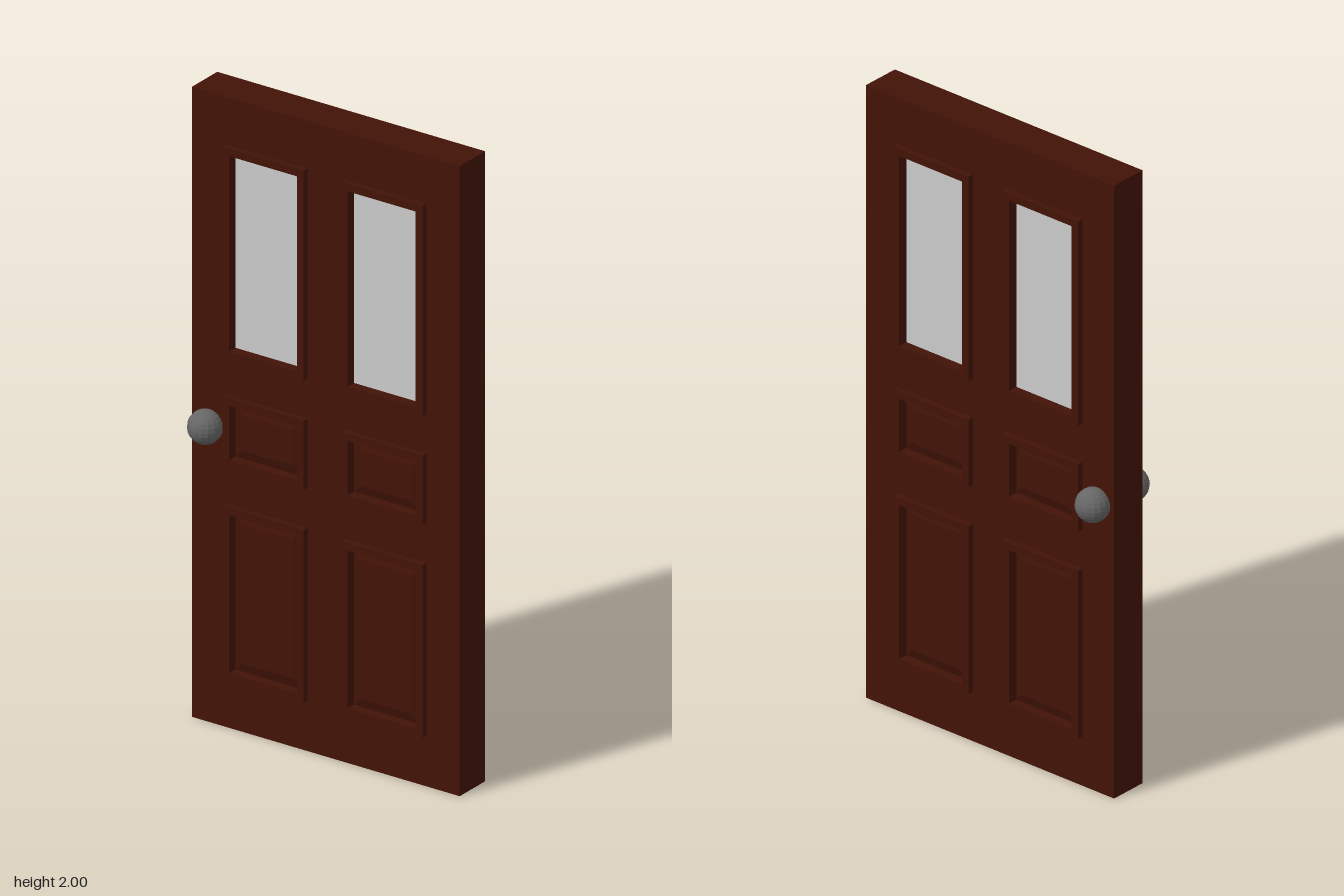
import * as THREE from 'three';

const wood = new THREE.MeshStandardMaterial({ color: 0x421306, flatShading: true });
const glass = new THREE.MeshStandardMaterial({ color: 0xcccccc });
const metal = new THREE.MeshStandardMaterial({ color: 0x666666, flatShading: true });

const HALF_DEPTH = 0.063; // half thickness of the slab
const RIM = 0.082; // how far the mouldings reach from the middle
const RIM_WIDTH = 0.024;
const INFILL = 0.05; // half thickness of panes and panel edges

// Rectangle outline; u runs along z, v along y
function rectangle(Type, [u0, u1, v0, v1]) {
  return new Type([
    new THREE.Vector2(u0, v0), new THREE.Vector2(u1, v0),
    new THREE.Vector2(u1, v1), new THREE.Vector2(u0, v1),
  ]);
}

const inset = ([u0, u1, v0, v1], d) => [u0 + d, u1 - d, v0 + d, v1 - d];

// Plate with rectangular holes, centred on x = 0 and lying in the zy plane
function plate(outer, holes, halfDepth) {
  const shape = rectangle(THREE.Shape, outer);
  holes.forEach((h) => shape.holes.push(rectangle(THREE.Path, h)));
  const geo = new THREE.ExtrudeGeometry(shape, { depth: halfDepth * 2, bevelEnabled: false });
  // A quarter turn sends the shape's x to +z
  return geo.translate(0, 0, -halfDepth).rotateY(-Math.PI / 2);
}

// Panel raised on both faces, with gently sloping borders
function raisedPanel(rect, edge, field, slope) {
  const geo = new THREE.ExtrudeGeometry(rectangle(THREE.Shape, inset(rect, slope)), {
    depth: edge * 2, bevelEnabled: true, bevelSegments: 1,
    bevelThickness: field - edge, bevelSize: slope,
  });
  return geo.translate(0, 0, -edge).rotateY(-Math.PI / 2);
}

function add(parent, name, geometry, material) {
  const mesh = new THREE.Mesh(geometry, material);
  mesh.name = name;
  parent.add(mesh);
  return mesh;
}

export function createModel() {
  const door = new THREE.Group();
  door.name = 'door';

  const rows = [
    { name: 'window', v: [1.181, 1.849] },
    { name: 'middlePanel', v: [0.836, 1.056] },
    { name: 'lowerPanel', v: [0.16, 0.709] },
  ];
  const columns = [[-0.352, -0.065], [0.066, 0.355]];
  const openings = [];

  for (const { name, v } of rows) {
    for (const u of columns) {
      const outer = [...u, ...v];
      const inner = inset(outer, RIM_WIDTH);
      openings.push(inner);

      // Moulding standing proud on both faces
      add(door, name + 'Moulding', plate(outer, [inner], RIM), wood);

      if (name === 'window') {
        add(door, 'windowPane', plate(inner, [], INFILL), glass);
      } else {
        add(door, name, raisedPanel(inner, INFILL, 0.06, 0.03), wood);
      }
    }
  }

  // Slab with openings for the panes and panels
  add(door, 'slab', plate([-0.473, 0.473, 0, 2], openings, HALF_DEPTH), wood);

  // One knob on each face
  for (const side of [-1, 1]) {
    const knob = add(door, 'knob', new THREE.SphereGeometry(0.053, 16, 12), metal);
    knob.position.set(side * 0.085, 0.946, -0.411);
  }

  return door;
}
